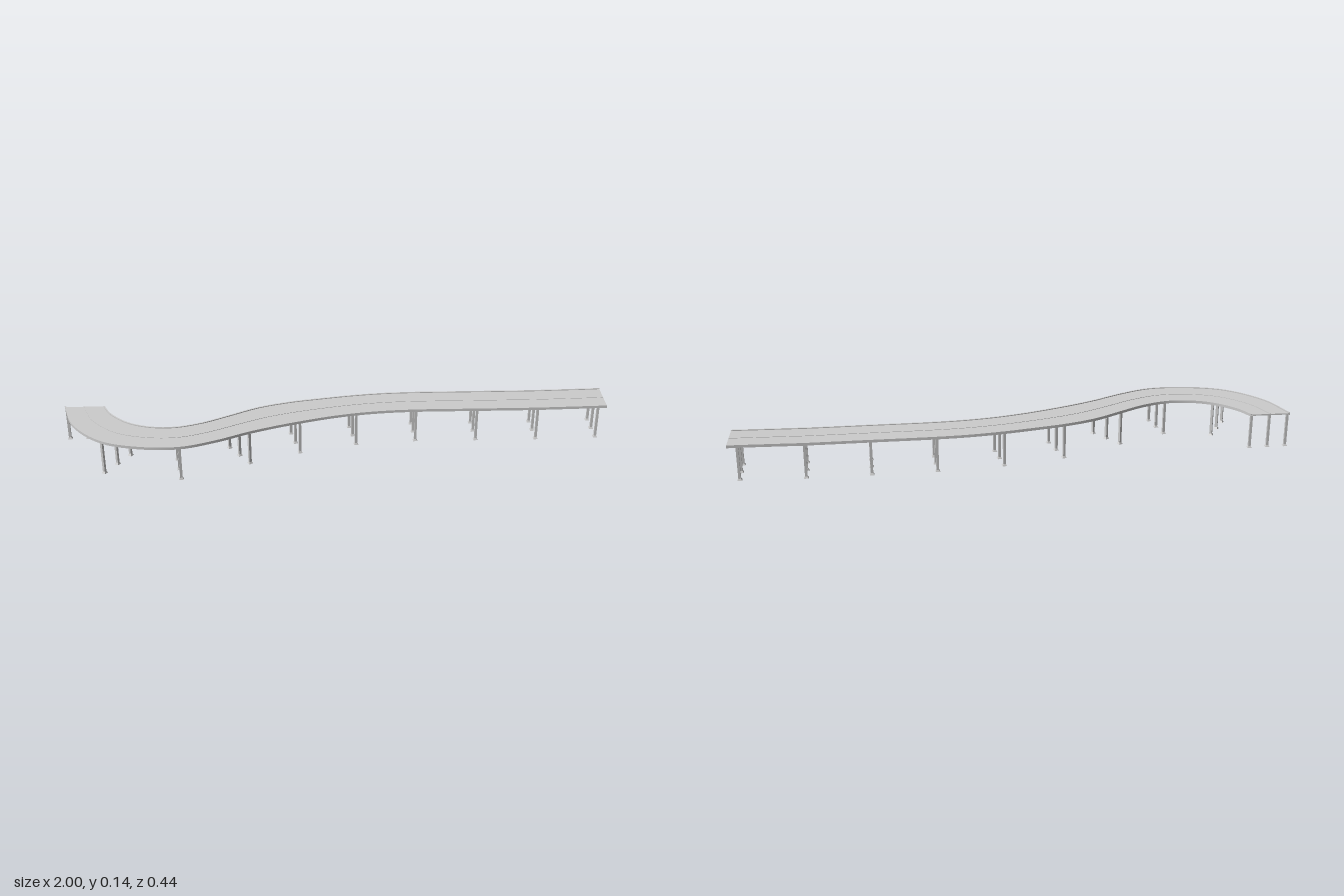
import * as THREE from 'three';
import { toCreasedNormals } from 'three/addons/utils/BufferGeometryUtils.js';

// matching points on the two road edges: [nearX, nearZ, farX, farZ]
const stations = [
  [-1, -0.1, -0.853, -0.1], [-0.945, 0.045, -0.82, -0.04],
  [-0.826, 0.166, -0.745, 0.03], [-0.69, 0.209, -0.66, 0.062],
  [-0.545, 0.211, -0.575, 0.063], [-0.425, 0.166, -0.48, 0.03],
  [-0.307, 0.102, -0.395, -0.02], [-0.22, 0.063, -0.285, -0.086],
  [-0.13, 0.028, -0.17, -0.128], [-0.03, -0.006, -0.06, -0.154],
  [0.075, -0.033, 0.05, -0.177], [0.18, -0.05, 0.17, -0.195],
  [0.295, -0.059, 0.287, -0.203], [0.52, -0.064, 0.515, -0.208],
  [0.745, -0.069, 0.74, -0.213], [0.968, -0.074, 0.965, -0.218],
  [1, -0.075, 1, -0.22],
];
const last = stations.length - 1;
const edge = (k) => new THREE.CatmullRomCurve3(
  stations.map((s) => new THREE.Vector3(s[k], 0, s[k + 1])));
const nearEdge = edge(0), farEdge = edge(2);

// the road climbs slightly towards its right-hand end
const rise = (x) => Math.max(0, x - 0.74) * 0.017;

// point on the road: t along it, u across it (0 near edge, 1 far edge)
function roadPoint(t, u, y) {
  const p = nearEdge.getPoint(t).lerp(farEdge.getPoint(t), u);
  p.y = y + rise(p.x);
  return p;
}

// sweeps a rectangular section along the whole road
function strip(u0, u1, y0, y1) {
  const section = [[u0, y0], [u1, y0], [u1, y1], [u0, y1]];
  const n = last * 6, pos = [], index = [];
  for (let i = 0; i <= n; i++) {
    for (const [u, y] of section) pos.push(...roadPoint(i / n, u, y).toArray());
    if (i === n) continue;
    for (let j = 0; j < 4; j++) {
      const a = i * 4 + j, b = i * 4 + ((j + 1) % 4);
      index.push(a, b, b + 4, a, b + 4, a + 4);
    }
  }
  const e = n * 4;
  index.push(0, 2, 1, 0, 3, 2, e, e + 1, e + 2, e, e + 2, e + 3);
  const g = new THREE.BufferGeometry();
  g.setAttribute('position', new THREE.Float32BufferAttribute(pos, 3));
  g.setIndex(index);
  return toCreasedNormals(g, 0.5);
}

export function createModel() {
  const model = new THREE.Group();
  const grey = new THREE.MeshStandardMaterial({ color: 0xcccccc });
  const add = (parent, name, geometry) => {
    const mesh = new THREE.Mesh(geometry, grey);
    mesh.name = name;
    parent.add(mesh);
    return mesh;
  };

  // road slab, raised kerbs and the central divider
  add(model, 'deck', strip(0, 1, 0.124, 0.129));
  add(model, 'nearKerb', strip(0, 0.035, 0.122, 0.132));
  add(model, 'farKerb', strip(0.965, 1, 0.122, 0.132));
  add(model, 'divider', strip(0.485, 0.515, 0.1285, 0.1305));

  // square pillar with a flared foot
  const shaft = new THREE.BoxGeometry(0.009, 0.118, 0.009).translate(0, 0.066, 0);
  const foot = new THREE.CylinderGeometry(0.0064, 0.0115, 0.007, 4, 1)
    .rotateY(Math.PI / 4).translate(0, 0.0035, 0).toNonIndexed();
  foot.computeVertexNormals();

  // rows of three pillars under the deck
  for (const s of [0, 2, 4, 6, 8, 10, 12, 13, 14, 15]) {
    const t = Math.max(s / last, 0.003);
    const row = new THREE.Group();
    row.name = 'pillarRow';
    const across = roadPoint(t, 1, 0).sub(roadPoint(t, 0, 0));
    for (const u of [0.04, 0.5, 0.96]) {
      const pillar = new THREE.Group();
      pillar.name = 'pillar';
      add(pillar, 'shaft', shaft);
      add(pillar, 'foot', foot);
      pillar.position.copy(roadPoint(t, u, 0));
      pillar.rotation.y = Math.atan2(across.x, across.z);
      row.add(pillar);
    }
    model.add(row);
  }
  return model;
}
